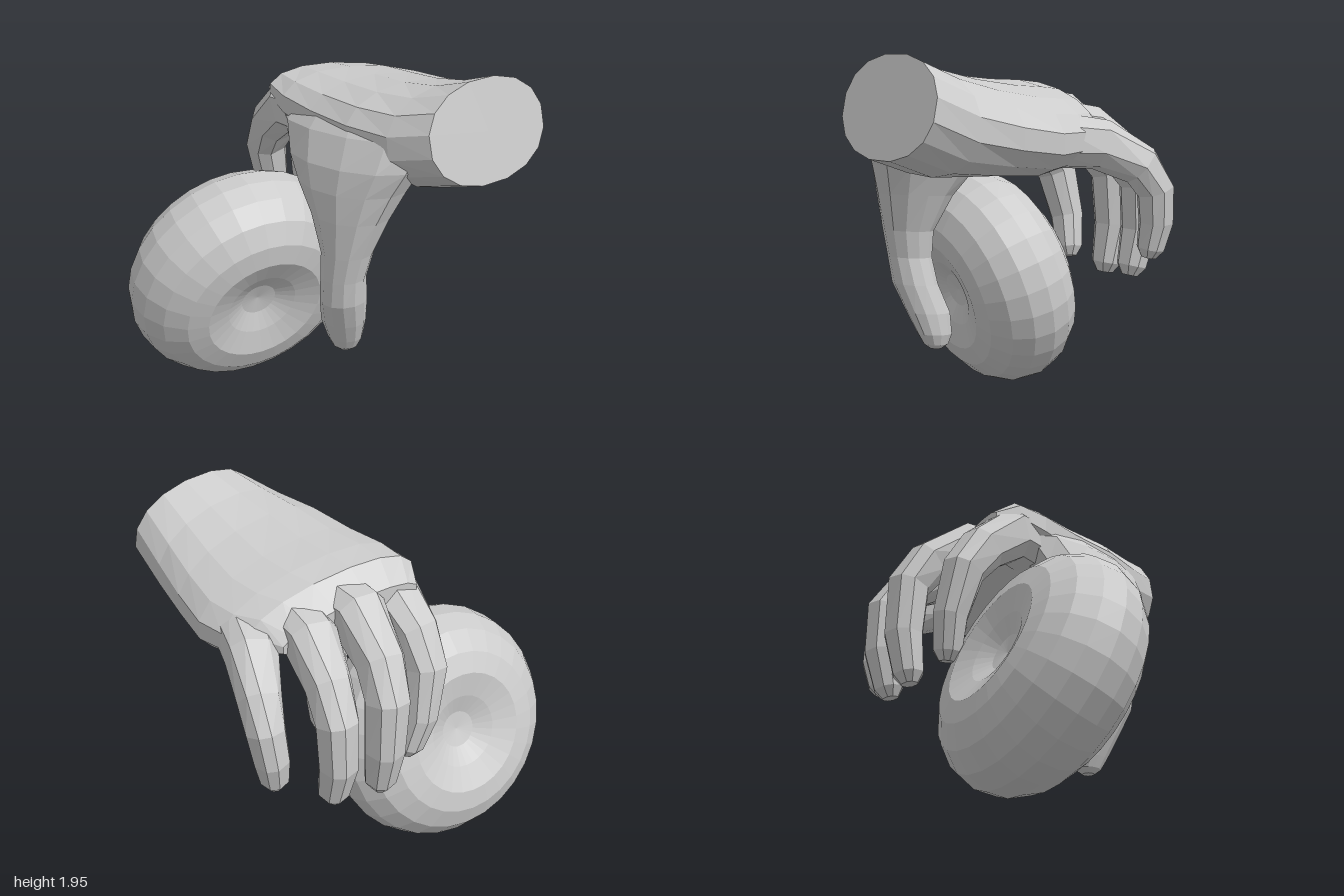
import * as THREE from 'three';

const material = new THREE.MeshStandardMaterial({ color: 0xcccccc, flatShading: true });
const v = (x, y, z) => new THREE.Vector3(x, y, z);

// Skin a list of equal-length rings and close both ends.
function loft(name, rings) {
  const n = rings[0].length, pos = [], index = [];
  const middle = (ring) => ring.reduce((s, p) => s.add(p), v(0, 0, 0)).divideScalar(n);
  rings.forEach((ring) => ring.forEach((p) => pos.push(p.x, p.y, p.z)));
  const last = rings.length - 1, startCap = rings.length * n, endCap = startCap + 1;
  pos.push(...middle(rings[0]).toArray(), ...middle(rings[last]).toArray());
  for (let j = 0; j < n; j++) {
    const k = (j + 1) % n;
    for (let i = 0; i < last; i++) {
      const a = i * n + j, b = i * n + k;
      index.push(a, b, b + n, a, b + n, a + n);
    }
    index.push(startCap, k, j, endCap, last * n + j, last * n + k);
  }
  const geometry = new THREE.BufferGeometry();
  geometry.setAttribute('position', new THREE.Float32BufferAttribute(pos, 3));
  geometry.setIndex(index);
  geometry.computeVertexNormals();
  const mesh = new THREE.Mesh(geometry, material);
  mesh.name = name;
  return mesh;
}

// n points (cos, sin) mapped through fn; power below 1 squares the outline.
function ring(n, power, fn) {
  const soft = (t) => Math.sign(t) * Math.abs(t) ** power;
  return Array.from({ length: n }, (_, j) => {
    const a = ((j + 0.5) / n) * Math.PI * 2;
    return fn(soft(Math.cos(a)), soft(Math.sin(a)));
  });
}

// Finger: rings square to a path of [x, y, z, radius], with a rounded tip.
function finger(name, path) {
  const pts = path.map((p) => v(p[0], p[1], p[2]));
  const radii = path.map((p) => p[3]);
  const end = pts.length - 1;
  const dir = pts[end].clone().sub(pts[end - 1]).normalize();
  pts.push(pts[end].clone().addScaledVector(dir, radii[end] * 0.7));
  radii.push(radii[end] * 0.55);
  return loft(name, pts.map((p, i) => {
    const d = pts[Math.min(i + 1, end + 1)].clone().sub(pts[Math.max(i - 1, 0)]).normalize();
    const side = v(0, 0, 1).addScaledVector(d, -d.z).normalize();
    const up = d.clone().cross(side);
    return ring(8, 0.8, (c, s) =>
      p.clone().addScaledVector(side, c * radii[i]).addScaledVector(up, s * radii[i]));
  }));
}

export function createModel() {
  const model = new THREE.Group();
  const hand = new THREE.Group();
  hand.name = 'hand';

  // Palm and wrist: x, centre y, centre z, half height, half width, tilt, shear by z, shear by y
  const palm = [
    [0.835, 1.695, -0.175, 0.26, 0.38, 0, -0.12, -0.23],
    [0.6, 1.615, -0.18, 0.27, 0.44, 0.05, -0.1, -0.1],
    [0.35, 1.59, -0.21, 0.25, 0.49, 0.1, -0.13, 0],
    [0.1, 1.575, -0.26, 0.235, 0.51, 0.13, -0.2, 0],
    [-0.1, 1.59, -0.275, 0.21, 0.5, 0.15, -0.28, 0],
    [-0.25, 1.62, -0.275, 0.165, 0.45, 0.16, -0.33, 0],
    [-0.38, 1.59, -0.28, 0.09, 0.37, 0.16, -0.33, 0],
  ];
  hand.add(loft('palm', palm.map(([x, y, z, ry, rz, tilt, sz, sy]) =>
    ring(16, 0.92, (c, s) => v(
      x + sz * c * rz + sy * s * ry, y + s * ry + tilt * c * rz, z + c * rz)))));

  // Thumb, its ball and its web: x, y, z, half width, half depth
  const thumb = [
    [0.16, 1.77, 0.05, 0.4, 0.13],
    [0.18, 1.63, 0.1, 0.5, 0.2],
    [0.22, 1.48, 0.145, 0.435, 0.225],
    [0.24, 1.35, 0.18, 0.34, 0.21],
    [0.275, 1.2, 0.22, 0.235, 0.175],
    [0.29, 1.0, 0.26, 0.145, 0.13],
    [0.27, 0.85, 0.27, 0.125, 0.115],
    [0.25, 0.7, 0.25, 0.125, 0.125],
    [0.2, 0.54, 0.2, 0.13, 0.11],
    [0.18, 0.42, 0.17, 0.105, 0.085],
    [0.175, 0.36, 0.165, 0.075, 0.06],
    [0.175, 0.335, 0.165, 0.035, 0.03],
  ];
  hand.add(loft('thumb', thumb.map(([x, y, z, rx, rz]) =>
    ring(12, 0.97, (c, s) => v(x + c * rx, y + c * rx * 0.08, z + s * rz)))));

  // Curled fingers
  hand.add(finger('indexFinger', [
    [-0.1, 1.6, 0.05, 0.15], [-0.35, 1.6, 0.045, 0.15], [-0.54, 1.44, 0.02, 0.125],
    [-0.645, 1.28, -0.01, 0.11], [-0.67, 1.02, -0.07, 0.09], [-0.64, 0.84, -0.11, 0.075],
  ]));
  hand.add(finger('middleFinger', [
    [-0.1, 1.62, -0.19, 0.15], [-0.39, 1.6, -0.24, 0.145], [-0.6, 1.45, -0.32, 0.12],
    [-0.69, 1.29, -0.37, 0.11], [-0.695, 1.0, -0.385, 0.1], [-0.66, 0.78, -0.37, 0.08],
  ]));
  hand.add(finger('ringFinger', [
    [-0.05, 1.58, -0.41, 0.15], [-0.31, 1.545, -0.5, 0.135], [-0.5, 1.41, -0.59, 0.112],
    [-0.595, 1.26, -0.635, 0.105], [-0.605, 1.0, -0.635, 0.097], [-0.56, 0.8, -0.62, 0.078],
  ]));
  hand.add(finger('littleFinger', [
    [0.1, 1.52, -0.57, 0.15], [-0.13, 1.49, -0.73, 0.13], [-0.3, 1.38, -0.86, 0.105],
    [-0.375, 1.25, -0.9, 0.095], [-0.4, 1.08, -0.89, 0.087], [-0.39, 0.94, -0.865, 0.07],
  ]));
  model.add(hand);

  // Thick disc with a shallow hollow on both faces
  const half = [
    [0, 0.21], [0.1, 0.225], [0.2, 0.275], [0.335, 0.318],
    [0.45, 0.297], [0.56, 0.225], [0.632, 0.12],
  ];
  const profile = [
    ...half.map(([r, y]) => new THREE.Vector2(r, -y)),
    new THREE.Vector2(0.657, 0),
    ...half.map(([r, y]) => new THREE.Vector2(r, y)).reverse(),
  ];
  const disc = new THREE.Mesh(new THREE.LatheGeometry(profile, 28), material);
  disc.name = 'hollowedDisc';
  disc.quaternion.setFromUnitVectors(v(0, 1, 0), v(0.914, -0.31, 0.26).normalize());
  disc.position.set(-0.455, 0.64, 0.36);
  model.add(disc);

  return model;
}
